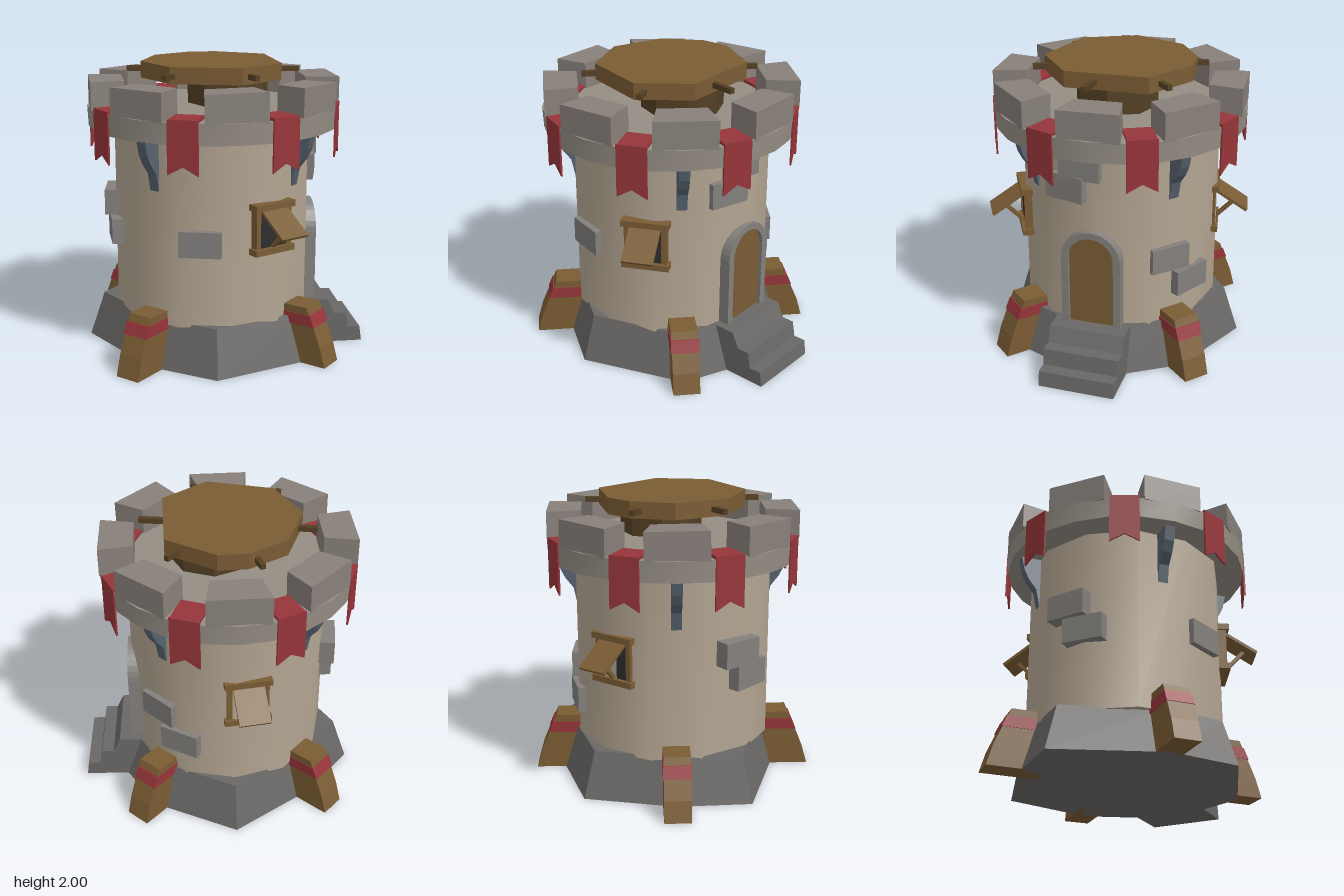
import * as THREE from 'three';
import { toCreasedNormals } from 'three/addons/utils/BufferGeometryUtils.js';

const mat = (color, flatShading = true) => new THREE.MeshStandardMaterial({ color, flatShading, side: THREE.DoubleSide });
const M = {
  wall: mat(0xb3a592, false), ring: mat(0x948d84, false), stone: mat(0x88807a), block: mat(0x83807d),
  base: mat(0x6a6866), wood: mat(0x7a5c34), shade: mat(0x543f24), red: mat(0x963539), dark: mat(0x2d2d2d), slate: mat(0x57626f),
};
const deg = Math.PI / 180;

function add(parent, name, geometry, material, x = 0, y = 0, z = 0) {
  const mesh = new THREE.Mesh(geometry, material);
  mesh.name = name;
  mesh.position.set(x, y, z);
  parent.add(mesh);
  return mesh;
}
const box = (w, h, d) => new THREE.BoxGeometry(w, h, d);

// Group turned about y, so that its local +z points outwards from the tower
function spoke(parent, name, azimuth, offset = 0) {
  const g = new THREE.Group();
  g.name = name;
  g.rotation.y = azimuth * deg;
  g.translateZ(offset);
  parent.add(g);
  return g;
}

const polygon = (pts) => new THREE.Shape(pts.map(([x, y]) => new THREE.Vector2(x, y)));
const extrude = (shape, depth) => new THREE.ExtrudeGeometry(shape, { depth, bevelEnabled: false, curveSegments: 8 });

// Radial (distance, height) profile given a sideways thickness
const fin = (pts, width) => extrude(polygon(pts), width).translate(0, 0, -width / 2).rotateY(-Math.PI / 2);

// Bar between two (height, distance) points
function bar(parent, name, w, t, [y0, z0], [y1, z1]) {
  const m = add(parent, name, box(w, t, Math.hypot(y1 - y0, z1 - z0)), M.wood, 0, (y0 + y1) / 2, (z0 + z1) / 2);
  m.rotation.x = -Math.atan2(y1 - y0, z1 - z0);
}

function arch(half, y0, spring) {
  const s = new THREE.Shape();
  s.moveTo(-half, y0);
  s.lineTo(half, y0);
  s.lineTo(half, spring);
  s.absarc(0, spring, half, 0, Math.PI, false);
  s.lineTo(-half, y0);
  return s;
}

// Uneven eight-cornered plinth
function plinth() {
  const corners = [[0, .74], [.5, .66], [.84, 0], [.62, -.62], [0, -.8], [-.61, -.62], [-.75, 0], [-.73, .51]];
  const geo = new THREE.CylinderGeometry(.88, 1, .32, 8);
  const p = geo.attributes.position;
  for (let i = 0; i < p.count; i++) {
    const r = Math.hypot(p.getX(i), p.getZ(i));
    if (r < .01) continue;
    const k = (Math.round(Math.atan2(p.getX(i), p.getZ(i)) / (45 * deg)) + 8) % 8;
    p.setX(i, corners[k][0] * r);
    p.setZ(i, corners[k][1] * r);
  }
  return geo;
}

// Block narrowing towards the tower centre
function merlonGeometry() {
  const geo = box(.41, .19, .225);
  const p = geo.attributes.position;
  for (let i = 0; i < p.count; i++) if (p.getZ(i) < 0) p.setX(i, p.getX(i) * .78);
  return geo;
}

function addWindow(parent, azimuth, offset) {
  const g = spoke(parent, 'window', azimuth, offset);
  add(g, 'windowOpening', box(.24, .28, .08), M.dark, 0, .97, .65);
  for (const y of [.82, 1.12]) add(g, 'windowBeam', box(.32, .042, .12), M.wood, 0, y, .66);
  for (const x of [-.125, .125]) add(g, 'windowPost', box(.035, .28, .1), M.wood, x, .97, .65);
  bar(g, 'shutter', .21, .02, [1.11, .67], [.95, .915]);
  bar(g, 'shutterStrut', .03, .025, [.84, .69], [.995, .84]);
}

export function createModel() {
  const tower = new THREE.Group();
  tower.name = 'tower';

  // Body, plinth and parapet ring
  const body = new THREE.CylinderGeometry(.68, .68, 1.3, 12, 1, false, 15 * deg);
  add(tower, 'towerWall', toCreasedNormals(body, 35 * deg), M.wall, 0, .95, 0);
  add(tower, 'plinth', plinth(), M.base, 0, .16, 0);
  const ring = new THREE.CylinderGeometry(.862, .855, .14, 24);
  add(tower, 'parapetRing', toCreasedNormals(ring, 35 * deg), M.ring, 0, 1.64, 0);

  // Buttresses with painted bands, and brackets under the parapet
  for (let a = 0; a < 360; a += 90) {
    const leg = spoke(tower, 'buttress', a);
    add(leg, 'buttressBeam', fin([[.6, 0], [.98, 0], [.94, .14], [.83, .4], [.6, .4]], .18), M.wood);
    add(leg, 'buttressBand', fin([[.62, .27], [.892, .27], [.858, .35], [.62, .35]], .19), M.red);
    const profile = [[.6, 1.21], [.66, 1.21], [.685, 1.33], [.74, 1.4], [.775, 1.47], [.8, 1.58], [.6, 1.58]];
    add(spoke(tower, 'bracket', a), 'bracketFin', fin(profile, .07), M.slate);
  }

  // Battlements, with banners hung through the gaps
  const merlon = merlonGeometry();
  const banner = extrude(polygon([[-.1, 1.38], [0, 1.435], [.1, 1.38], [.1, 1.73], [-.1, 1.73]]), .012);
  for (let i = 0; i < 8; i++) {
    const m = add(spoke(tower, 'battlement', i * 45), 'merlon', merlon, M.stone, 0, 1.798, .732);
    m.rotation.z = .02 * Math.sin(i * 2.3);
    m.rotation.y = .03 * Math.sin(i * 1.7);
    const b = spoke(tower, 'banner', i * 45 + 22.5);
    add(b, 'bannerCloth', banner, M.red, 0, 0, .85);
    add(b, 'bannerTop', box(.19, .03, .21), M.red, 0, 1.715, .755);
  }

  // Wooden lookout platform, its support and the protruding pegs
  const outline = [[.1, -.5], [.49, -.1], [.43, .28], [.01, .5], [-.35, .35], [-.5, 0], [-.42, -.29], [-.28, -.43]];
  const deck = extrude(polygon(outline.map(([x, z]) => [x, -z])), .11).rotateX(-Math.PI / 2);
  add(tower, 'platform', deck, M.wood, 0, 1.89, 0);
  add(tower, 'platformSupport', new THREE.CylinderGeometry(.28, .28, .2, 8), M.shade, .075, 1.8, -.075);
  for (const a of [3, 64, 125, 180, 242, 303])
    add(spoke(tower, 'peg', a), 'pegBar', box(.035, .035, .2), M.shade, 0, 1.94, .49);

  // Arched door with a flight of three steps
  const door = spoke(tower, 'door', 132);
  const frame = arch(.205, .3, .805);
  frame.holes.push(arch(.155, .31, .81));
  add(door, 'doorFrame', extrude(frame, .12), M.block, 0, 0, .585);
  add(door, 'doorPanel', extrude(arch(.16, .3, .81), .095), M.wood, 0, 0, .585);
  const flight = [[.4, 0], [1.045, 0], [1.03, .105], [.945, .105], [.925, .215], [.84, .215], [.79, .32], [.4, .32]];
  add(door, 'steps', fin(flight, .52), M.base);

  addWindow(tower, 70, 0);
  addWindow(tower, 232, -.03);

  // Raised wall stones: azimuth, centre height, centre distance
  const stones = [
    [28, .885, .64], [-54, 1.03, .69], [-45, .85, .665], [126, 1.46, .645],
    [117, 1.3, .645], [177, .79, .64], [192, .59, .645],
  ];
  for (const [a, y, r] of stones)
    add(spoke(tower, 'wallStone', a), 'wallStoneBlock', box(.28, .175, .12), M.block, 0, y, r);

  return tower;
}
